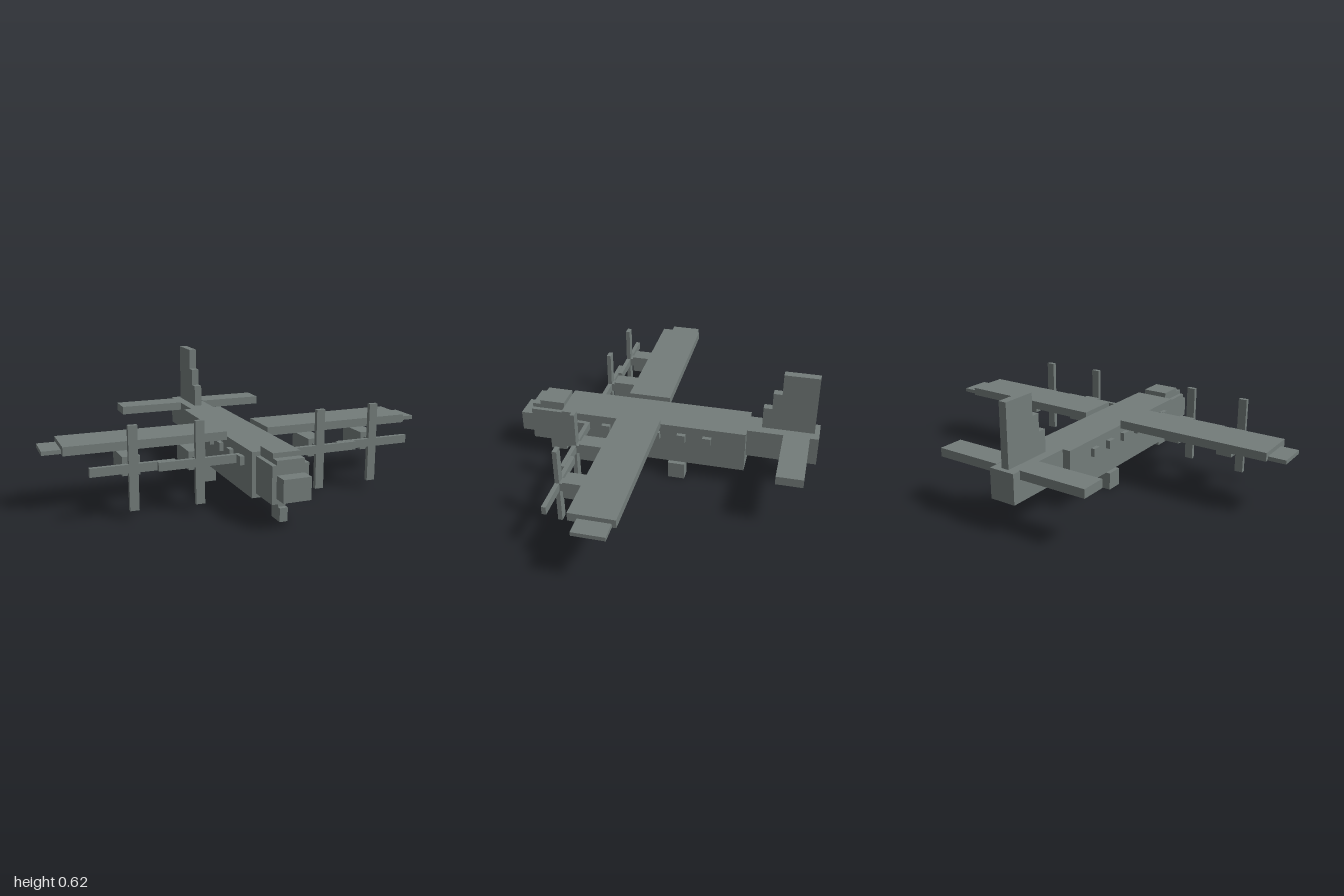
import * as THREE from 'three';

export function createModel() {
  const plane = new THREE.Group();
  plane.name = 'propellerPlane';
  const grey = new THREE.MeshStandardMaterial({ color: 0x737c7a });
  grey.name = 'grey green';

  // Box given by its lower and upper bounds on each axis
  const box = (name, [x0, x1], [y0, y1], [z0, z1], parent = plane) => {
    const mesh = new THREE.Mesh(new THREE.BoxGeometry(x1 - x0, y1 - y0, z1 - z0), grey);
    mesh.position.set((x0 + x1) / 2, (y0 + y1) / 2, (z0 + z1) / 2);
    mesh.name = name;
    parent.add(mesh);
  };
  // The same box on the left (+x) and right (-x)
  const pair = (name, [x0, x1], y, z) => {
    box(name + 'Left', [x0, x1], y, z);
    box(name + 'Right', [-x1, -x0], y, z);
  };

  // Fuselage, nose and cockpit
  box('fuselage', [-0.11, 0.11], [0.09, 0.31], [-0.43, 0.545]);
  box('tailBoom', [-0.068, 0.068], [0.158, 0.31], [-0.79, -0.43]);
  box('noseSection', [-0.09, 0.09], [0.112, 0.29], [0.545, 0.72]);
  box('cockpitBase', [-0.068, 0.068], [0.29, 0.312], [0.545, 0.72]);
  box('cockpitRoof', [-0.068, 0.068], [0.312, 0.335], [0.545, 0.677]);
  box('noseTip', [-0.068, 0.068], [0.138, 0.245], [0.72, 0.79]);

  // Wings and wing tips
  pair('wing', [0.11, 0.91], [0.292, 0.335], [0.01, 0.232]);
  pair('wingTip', [0.91, 1], [0.292, 0.312], [0.03, 0.188]);

  // Stepped fin and tailplane
  box('fin', [-0.02, 0.02], [0.31, 0.625], [-0.765, -0.588]);
  box('finMiddleStep', [-0.02, 0.02], [0.31, 0.514], [-0.588, -0.544]);
  box('finFrontStep', [-0.02, 0.02], [0.31, 0.425], [-0.544, -0.5]);
  pair('tailplane', [0.068, 0.42], [0.268, 0.312], [-0.745, -0.613]);

  // Engines, shafts and crossed propellers
  for (const [label, x, z] of [['inner', 0.312, 0.39], ['outer', 0.622, 0.367]]) {
    pair(label + 'Engine', [x - 0.042, x + 0.042], [0.202, 0.292], [z - 0.197, z - 0.023]);
    pair(label + 'Shaft', [x - 0.022, x + 0.022], [0.224, 0.268], [z - 0.023, z]);
    pair(label + 'BladeVertical', [x - 0.022, x + 0.022], [0.046, 0.446], [z, z + 0.022]);
    pair(label + 'BladeInboard', [x - 0.2, x - 0.022], [0.226, 0.267], [z, z + 0.022]);
    pair(label + 'BladeOutboard', [x + 0.022, x + 0.2], [0.226, 0.267], [z, z + 0.022]);
  }

  // Protruding side windows
  for (let i = 0; i < 6; i++) {
    const z = -0.234 + i * 0.1335;
    pair('window' + i, [0.11, 0.132], [0.225, 0.268], [z - 0.022, z + 0.022]);
  }

  // Landing gear
  pair('mainWheel', [0.066, 0.132], [0, 0.09], [-0.122, -0.034]);
  box('noseStrut', [-0.02, 0.02], [0.066, 0.112], [0.59, 0.634]);
  box('noseWheel', [-0.02, 0.02], [0, 0.066], [0.568, 0.656]);

  return plane;
}
